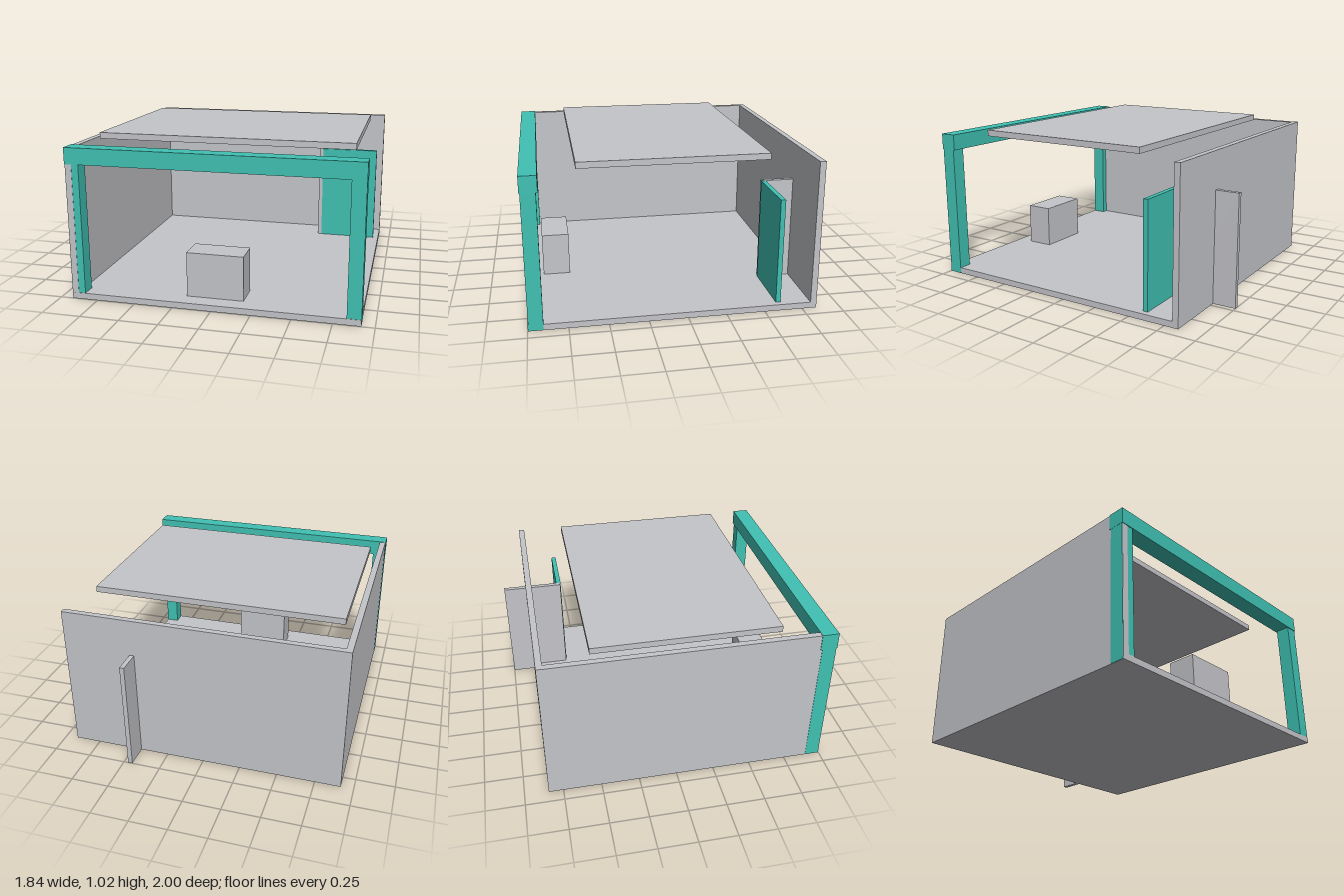
import * as THREE from 'three';

export function createModel() {
  const model = new THREE.Group();
  model.name = 'exhibitionBooth';

  const grey = new THREE.MeshStandardMaterial({ color: 0xc4c5c9 });
  grey.name = 'lightGrey';
  const teal = new THREE.MeshStandardMaterial({ color: 0x40c1b3 });
  teal.name = 'teal';

  // Box given by its extents along each axis
  function slab(name, material, [x0, x1], [y0, y1], [z0, z1]) {
    const mesh = new THREE.Mesh(new THREE.BoxGeometry(x1 - x0, y1 - y0, z1 - z0), material);
    mesh.position.set((x0 + x1) / 2, (y0 + y1) / 2, (z0 + z1) / 2);
    mesh.name = name;
    model.add(mesh);
  }

  // Shell: floor, back wall and one side wall; the other side is open
  slab('floor', grey, [-0.918, 0.918], [0, 0.04], [-0.842, 0.998]);
  slab('backWall', grey, [-0.918, 0.918], [0, 0.983], [-0.845, -0.805]);
  slab('sideWall', grey, [-0.918, -0.877], [0.001, 0.982], [-0.844, 0.997]);

  // Front frame: two posts and a beam
  for (const side of [-1, 1]) {
    const xs = [side * 0.92, side * 0.832].sort((a, b) => a - b);
    slab(side < 0 ? 'rightPost' : 'leftPost', teal, xs, [0.002, 0.885], [0.903, 0.995]);
  }
  slab('frontBeam', teal, [-0.921, 0.921], [0.88, 0.985], [0.892, 1]);

  // Floating ceiling panel
  slab('ceilingPanel', grey, [-0.83, 0.826], [0.985, 1.025], [-0.525, 0.668]);

  // Counter near the front opening
  slab('counter', grey, [-0.185, 0.182], [0.03, 0.33], [0.705, 0.888]);

  // Storage corner: partition passing through the back wall, and its door
  slab('partition', grey, [0.44, 0.47], [0.001, 0.738], [-1, -0.588]);
  slab('storageDoor', teal, [0.468, 0.88], [0.002, 0.737], [-0.615, -0.583]);

  return model;
}
